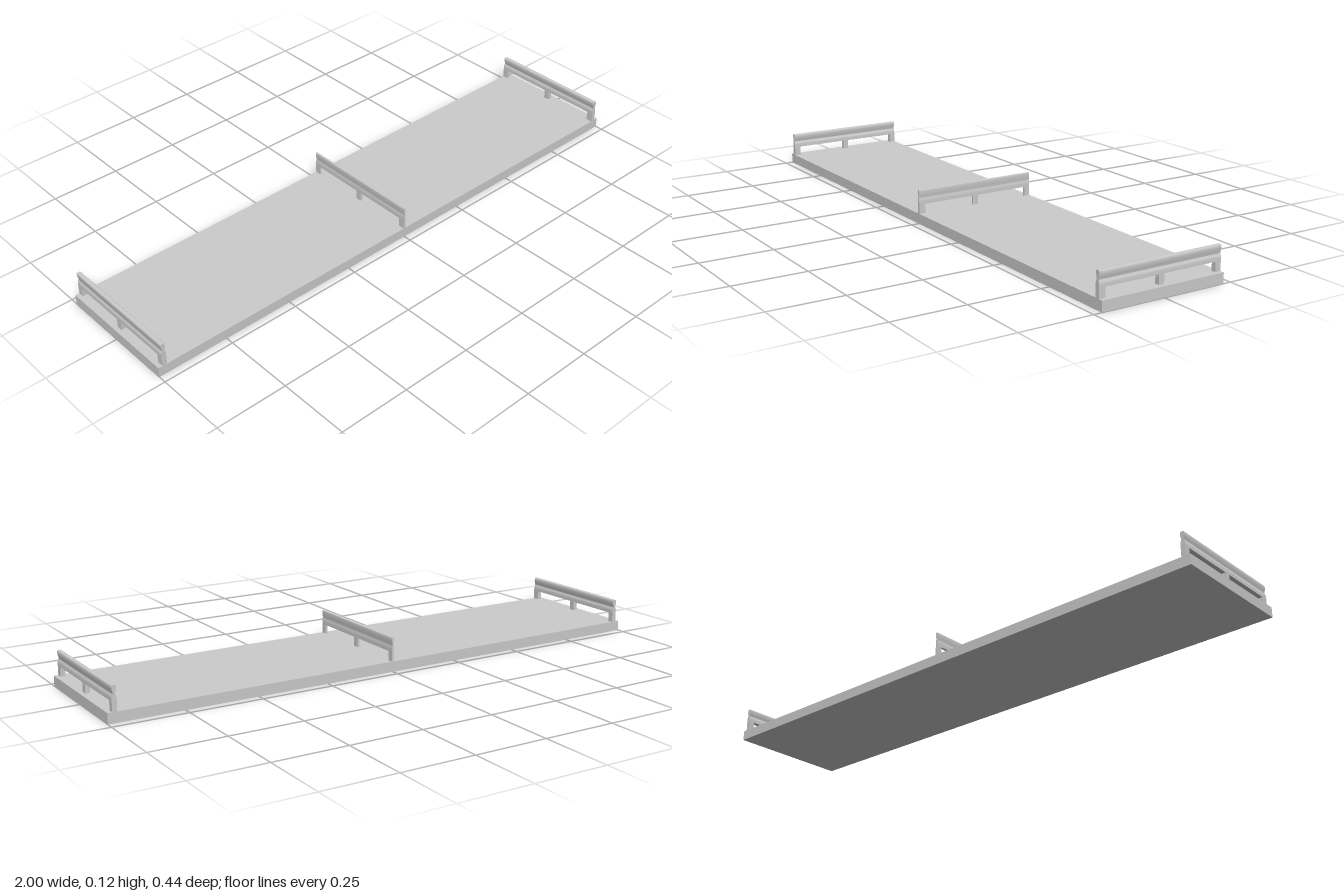
import * as THREE from 'three';
import { toCreasedNormals } from 'three/addons/utils/BufferGeometryUtils.js';

const DECK_TOP = 0.035, RAIL_BOTTOM = 0.067, DEPTH = 0.445;
const material = new THREE.MeshStandardMaterial({ color: 0xcccccc });

function box(name, w, h, d, x, y, z) {
  const mesh = new THREE.Mesh(new THREE.BoxGeometry(w, h, d), material);
  mesh.name = name;
  mesh.position.set(x, y, z);
  return mesh;
}

// Moulded rail: straight foot, pinched neck and rounded head, swept along z
function railGeometry() {
  const shape = new THREE.Shape();
  shape.moveTo(-0.008, RAIL_BOTTOM);
  shape.lineTo(0.008, RAIL_BOTTOM);
  shape.lineTo(0.008, 0.076);
  shape.bezierCurveTo(0.008, 0.086, 0.004, 0.086, 0.004, 0.092);
  shape.bezierCurveTo(0.004, 0.098, 0.007, 0.098, 0.007, 0.105);
  shape.lineTo(0.007, 0.113);
  shape.quadraticCurveTo(0.007, 0.117, 0.003, 0.117);
  shape.lineTo(-0.003, 0.117);
  shape.quadraticCurveTo(-0.007, 0.117, -0.007, 0.113);
  shape.lineTo(-0.007, 0.105);
  shape.bezierCurveTo(-0.007, 0.098, -0.004, 0.098, -0.004, 0.092);
  shape.bezierCurveTo(-0.004, 0.086, -0.008, 0.086, -0.008, 0.076);
  shape.closePath();
  const geometry = new THREE.ExtrudeGeometry(shape, { depth: DEPTH, bevelEnabled: false, curveSegments: 8 });
  geometry.translate(0, 0, -DEPTH / 2);
  return toCreasedNormals(geometry, 0.6);
}

// One divider: a rail carried on three short posts
function divider(name, x, thickness) {
  const group = new THREE.Group();
  group.name = name;
  const rail = new THREE.Mesh(railGeometry(), material);
  rail.name = 'rail';
  group.add(rail);
  const height = RAIL_BOTTOM - DECK_TOP;
  for (const [label, z] of [['frontPost', 0.211], ['middlePost', 0], ['backPost', -0.2125]]) {
    const depth = label === 'frontPost' ? 0.023 : 0.02;
    group.add(box(label, 0.016, height, depth, 0, DECK_TOP + height / 2, z));
  }
  group.position.x = x;
  group.scale.x = thickness;
  return group;
}

export function createModel() {
  const model = new THREE.Group();
  model.name = 'shelf';
  model.add(box('shelfBoard', 2, DECK_TOP, DEPTH, 0, DECK_TOP / 2, 0));
  model.add(divider('leftDivider', 0.977, 1));
  model.add(divider('rightDivider', -0.977, 1));
  // The middle divider is slimmer than the end ones
  model.add(divider('middleDivider', 0, 0.5));
  return model;
}
